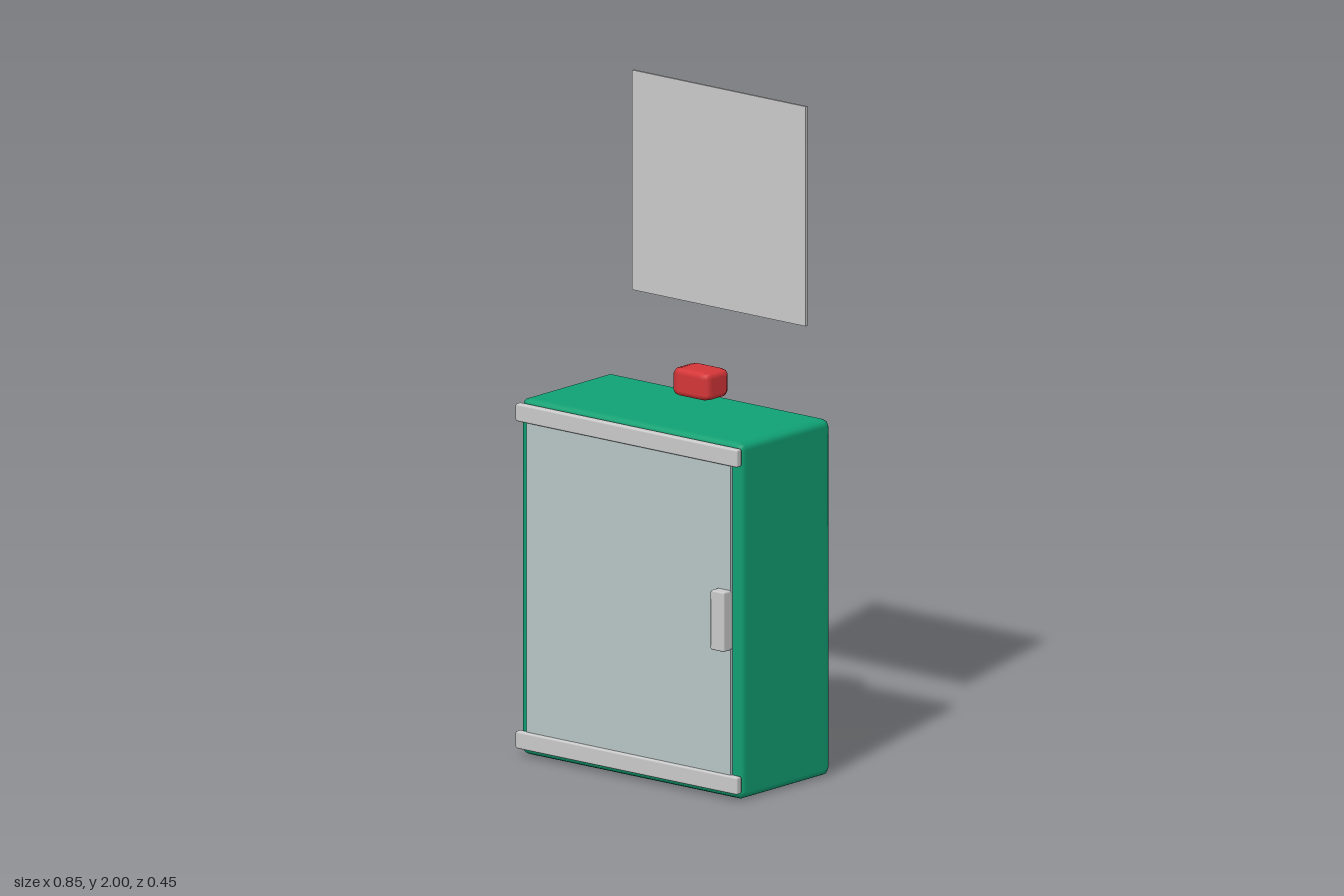
import * as THREE from 'three';
import { RoundedBoxGeometry } from 'three/addons/geometries/RoundedBoxGeometry.js';

const material = (color) => new THREE.MeshStandardMaterial({ color });

// Adds a box given by its [min, max] range on each axis; a bevel rounds its edges
function addBox(group, name, mat, [x0, x1], [y0, y1], [z0, z1], bevel = 0) {
  const size = [x1 - x0, y1 - y0, z1 - z0];
  const geometry = bevel ? new RoundedBoxGeometry(...size, 1, bevel) : new THREE.BoxGeometry(...size);
  const mesh = new THREE.Mesh(geometry, mat);
  mesh.name = name;
  mesh.position.set((x0 + x1) / 2, (y0 + y1) / 2, (z0 + z1) / 2);
  group.add(mesh);
  return mesh;
}

export function createModel() {
  const model = new THREE.Group();
  model.name = 'cabinet';
  const green = material(0x10a274);
  const red = material(0xd63638);
  const metal = material(0xcccccc);
  const glass = material(0xb9c7c7);

  // Cabinet body
  addBox(model, 'body', green, [-0.425, 0.425], [0, 1.075], [-0.225, 0.18], 0.023);

  // Front door and its handle
  addBox(model, 'door', glass, [-0.39, 0.39], [0.05, 1.03], [0.17, 0.19]);
  addBox(model, 'handle', metal, [0.342, 0.395], [0.452, 0.632], [0.188, 0.225], 0.005);

  // Rails above and below the door
  addBox(model, 'topRail', metal, [-0.425, 0.425], [1.008, 1.062], [0.178, 0.202], 0.006);
  addBox(model, 'bottomRail', metal, [-0.425, 0.425], [0.022, 0.075], [0.178, 0.202], 0.006);

  // Beacon: a bevelled unit cube stretched to size
  const beacon = new THREE.Mesh(new RoundedBoxGeometry(1, 1, 1, 1, 0.226), red);
  beacon.name = 'beacon';
  beacon.scale.set(0.146, 0.088, 0.11);
  beacon.position.set(0, 1.132, -0.135);
  model.add(beacon);

  // Floating sign plate behind the beacon
  addBox(model, 'signPlate', metal, [-0.332, 0.332], [1.338, 2], [-0.225, -0.217]);

  return model;
}
